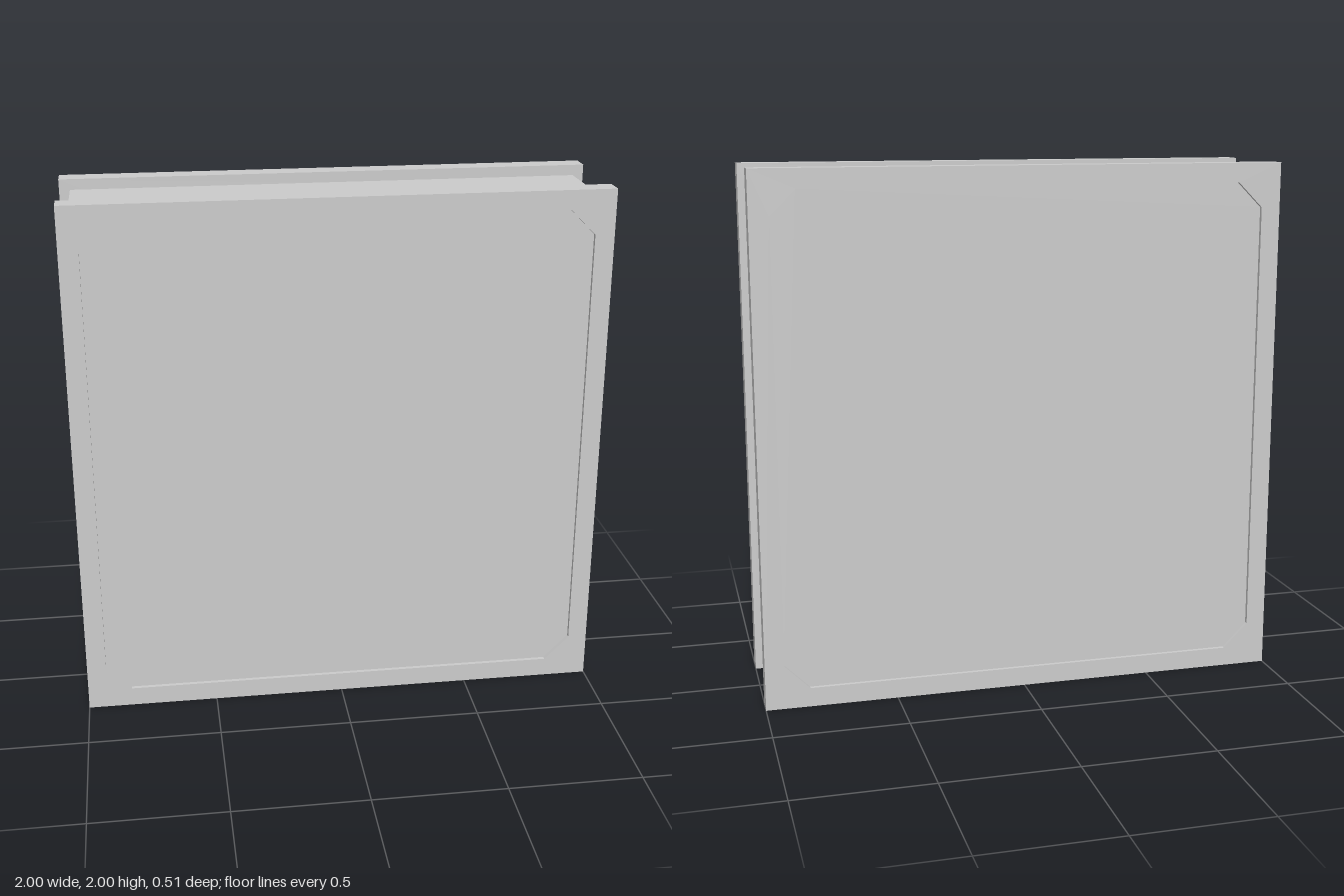
import * as THREE from 'three';

const HALF = 1;          // half width of the square flanges
const CORE = 0.96;       // half width of the body between them
const OUTER_Z = 0.255;   // outer face of each flange
const INNER_Z = 0.175;   // inner face of each flange
const RECESS = 0.015;    // depth of the sunken panes

// Square outline with optionally cut corners, centred on the origin
function squarePoints(h, cut = 0) {
  const points = [];
  for (const [sx, sy] of [[1, 1], [-1, 1], [-1, -1], [1, -1]]) {
    const a = new THREE.Vector2(sx * h, sy * (h - cut));
    const b = new THREE.Vector2(sx * (h - cut), sy * h);
    if (cut === 0) points.push(a);
    else points.push(...(sx * sy > 0 ? [a, b] : [b, a]));
  }
  return points;
}

export function createModel() {
  const model = new THREE.Group();
  model.name = 'squareBlock';
  const material = new THREE.MeshStandardMaterial({ color: 0xcccccc, flatShading: true });

  const add = (parent, name, geometry, z) => {
    const mesh = new THREE.Mesh(geometry, material);
    mesh.name = name;
    mesh.position.z = z;
    parent.add(mesh);
  };

  // Solid body between the flanges
  add(model, 'core', new THREE.BoxGeometry(2 * CORE, 2 * CORE, 2 * INNER_Z), 0);

  // Flange frame with a cut-corner opening, and the pane sunk into it
  const opening = squarePoints(0.927, 0.095);
  const frameShape = new THREE.Shape(squarePoints(HALF));
  frameShape.holes.push(new THREE.Path(opening));
  const frame = new THREE.ExtrudeGeometry(frameShape, { depth: OUTER_Z - INNER_Z, bevelEnabled: false });
  const pane = new THREE.ShapeGeometry(new THREE.Shape(opening));

  // Same face on the front and, turned round, on the back
  for (const [side, turn] of [['front', 0], ['back', Math.PI]]) {
    const face = new THREE.Group();
    face.name = side + 'Face';
    face.rotation.y = turn;
    add(face, side + 'Frame', frame, INNER_Z);
    add(face, side + 'Pane', pane, OUTER_Z - RECESS);
    model.add(face);
  }

  // Stand the block on the ground
  for (const part of model.children) part.position.y = HALF;
  return model;
}
